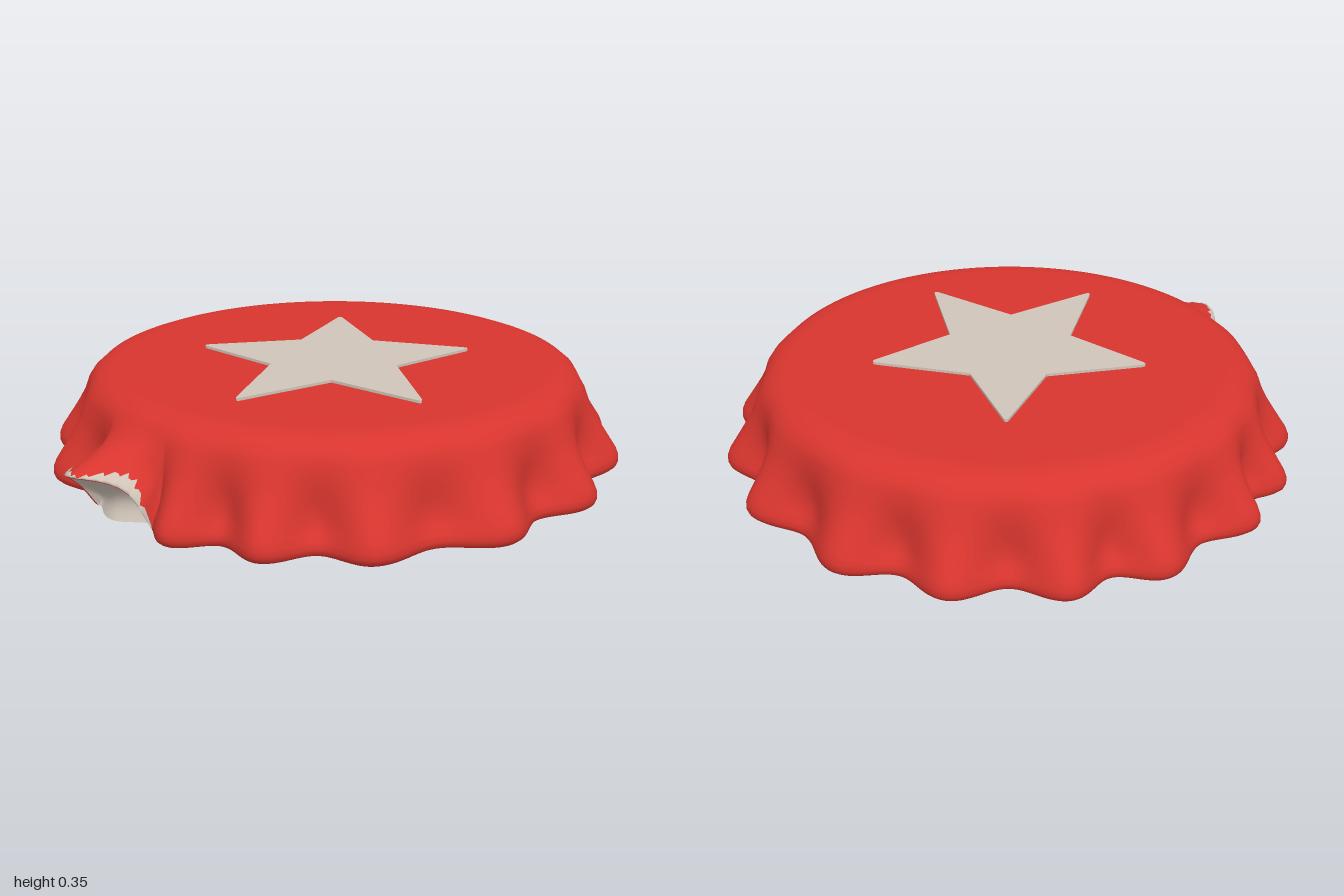
import * as THREE from 'three';

const RAD = Math.PI / 180;
// Crest angles of the crimped flutes, in degrees from +x towards +z
const CRESTS = [-80, -58, -32, -12, 8, 31, 55, 81, 101, 119, 136, 160, 181, 199, 215, 239, 258, 280];
// Profile from the centre of the top to the base: height, crest radius, valley radius
const PROFILE = [
  [0.346, 0, 0], [0.345, 0.4, 0.4], [0.344, 0.73, 0.73], [0.34, 0.78, 0.78], [0.325, 0.82, 0.82],
  [0.30, 0.85, 0.845], [0.27, 0.87, 0.86], [0.22, 0.89, 0.867], [0.18, 0.912, 0.866],
  [0.14, 0.938, 0.866], [0.10, 0.965, 0.87], [0.07, 0.985, 0.885], [0.045, 0.995, 0.905],
  [0.025, 0.996, 0.912], [0.01, 0.99, 0.91], [0, 0.978, 0.9],
];
const LIP = { angle: 134, half: 9.5, height: 0.18, reach: 0.105, top: 0.27 };

// 1 on a crest, 0 in a valley
function flute(deg) {
  let i = 0;
  while (i < CRESTS.length - 2 && deg >= CRESTS[i + 1]) i++;
  const t = (deg - CRESTS[i]) / (CRESTS[i + 1] - CRESTS[i]);
  return 0.5 + 0.5 * Math.cos(t * Math.PI * 2);
}

// Arch of the bent lip: 0 outside, 1 in its middle
function arch(deg) {
  const u = (deg - LIP.angle) / LIP.half;
  return Math.sqrt(Math.max(0, 1 - u * u));
}

const polar = (deg, r, y) => [r * Math.cos(deg * RAD), y, r * Math.sin(deg * RAD)];

// Radius and height of the shell at an angle, for one profile row
function shell(deg, [y, crest, valley]) {
  const w = arch(deg);
  let r = valley + (crest - valley) * flute(deg);
  if (y < LIP.top) {
    const k = 1 - y / LIP.top;
    r += LIP.reach * w * k;
    y += LIP.height * w * k;
  }
  return [r, y];
}

// Profile row at any height below the shoulder
function rowAt(y) {
  let i = PROFILE.length - 2;
  while (i > 0 && PROFILE[i][0] < y) i--;
  const [a, b] = [PROFILE[i], PROFILE[i + 1]];
  const t = (a[0] - y) / (a[0] - b[0]);
  return a.map((v, n) => v + (b[n] - v) * t);
}

// Surface from a grid of points; columns run around, rows run downwards
function grid(cols, rows, closed, point) {
  const pos = [], index = [];
  for (let i = 0; i < cols; i++) for (let j = 0; j < rows; j++) pos.push(...point(i, j));
  for (let i = 0; i < (closed ? cols : cols - 1); i++) {
    const n = (i + 1) % cols;
    for (let j = 0; j < rows - 1; j++) {
      const a = i * rows + j, b = n * rows + j;
      index.push(a, b, a + 1, b, b + 1, a + 1);
    }
  }
  const g = new THREE.BufferGeometry();
  g.setAttribute('position', new THREE.Float32BufferAttribute(pos, 3));
  g.setIndex(index);
  g.computeVertexNormals();
  return g;
}

// Foot of the shell, set back under the bent lip
function footRadius(deg) {
  const [, crest, valley] = PROFILE[PROFILE.length - 1];
  return valley + (crest - valley) * flute(deg) - 0.03 * arch(deg);
}

function starGeometry() {
  const tips = [[0, 0.5], [0.48, 0.09], [0.3, -0.51], [-0.3, -0.51], [-0.48, 0.09]];
  const inner = [[0.13, 0.17], [0.215, -0.13], [0, -0.3], [-0.215, -0.13], [-0.13, 0.17]];
  const shape = new THREE.Shape();
  tips.forEach((p, i) => {
    const tip = new THREE.Vector2(...p);
    const before = new THREE.Vector2(...inner[(i + 4) % 5]);
    const after = new THREE.Vector2(...inner[i]);
    const start = tip.clone().lerp(before, 0.08), end = tip.clone().lerp(after, 0.08);
    if (i === 0) shape.moveTo(start.x, start.y);
    else shape.lineTo(start.x, start.y);
    shape.quadraticCurveTo(tip.x, tip.y, end.x, end.y);
    shape.lineTo(after.x, after.y);
  });
  shape.closePath();
  const g = new THREE.ExtrudeGeometry(shape, { depth: 0.0095, bevelEnabled: false, curveSegments: 5 });
  g.rotateX(-Math.PI / 2);
  return g.translate(0, 0.3455, 0);
}

export function createModel() {
  const red = new THREE.MeshStandardMaterial({ color: 0xd8352e });
  red.name = 'red paint';
  const metal = new THREE.MeshStandardMaterial({ color: 0xd0c4b8, side: THREE.DoubleSide });
  metal.name = 'pale metal';

  const group = new THREE.Group();
  group.name = 'bottleCap';
  const add = (name, geometry, material) => {
    const mesh = new THREE.Mesh(geometry, material);
    mesh.name = name;
    group.add(mesh);
  };

  // Domed top and fluted skirt
  const COLS = 720, degree = (i) => -80 + i / 2;
  add('crimpedShell', grid(COLS, PROFILE.length, true, (i, j) => {
    const [r, y] = shell(degree(i), PROFILE[j]);
    return polar(degree(i), r, y);
  }), red);

  // Flat underside
  add('underside', grid(COLS, 2, true, (i, j) =>
    polar(degree(i), j ? 0 : footRadius(degree(i)), 0)), red);

  // Hollow bare face under the bent lip
  const N = 39, lipDegree = (i) => LIP.angle + LIP.half * (i / (N - 1) * 2 - 1);
  add('lipHollow', grid(N, 11, false, (i, j) => {
    const deg = lipDegree(i), s = j / 10;
    const [r, y] = shell(deg, PROFILE[PROFILE.length - 1]);
    const radius = r + (footRadius(deg) - r) * s - 0.07 * Math.sin(Math.PI * s) * arch(deg);
    return polar(deg, radius, y * (1 - s));
  }), metal);

  // Worn paint along the lip edge
  add('wornLipEdge', grid(N, 6, false, (i, j) => {
    const deg = lipDegree(i), u = i / (N - 1) * 2 - 1;
    const depth = 0.02 + 0.05 * Math.abs(Math.sin(3 * u)) + 0.012 * Math.sin(i * 2.3);
    const [r, y] = shell(deg, rowAt(depth * (1 - j / 5)));
    return polar(deg, r + 0.003, y + 0.003);
  }), metal);

  // Star plate on the top
  add('star', starGeometry(), metal);
  return group;
}
